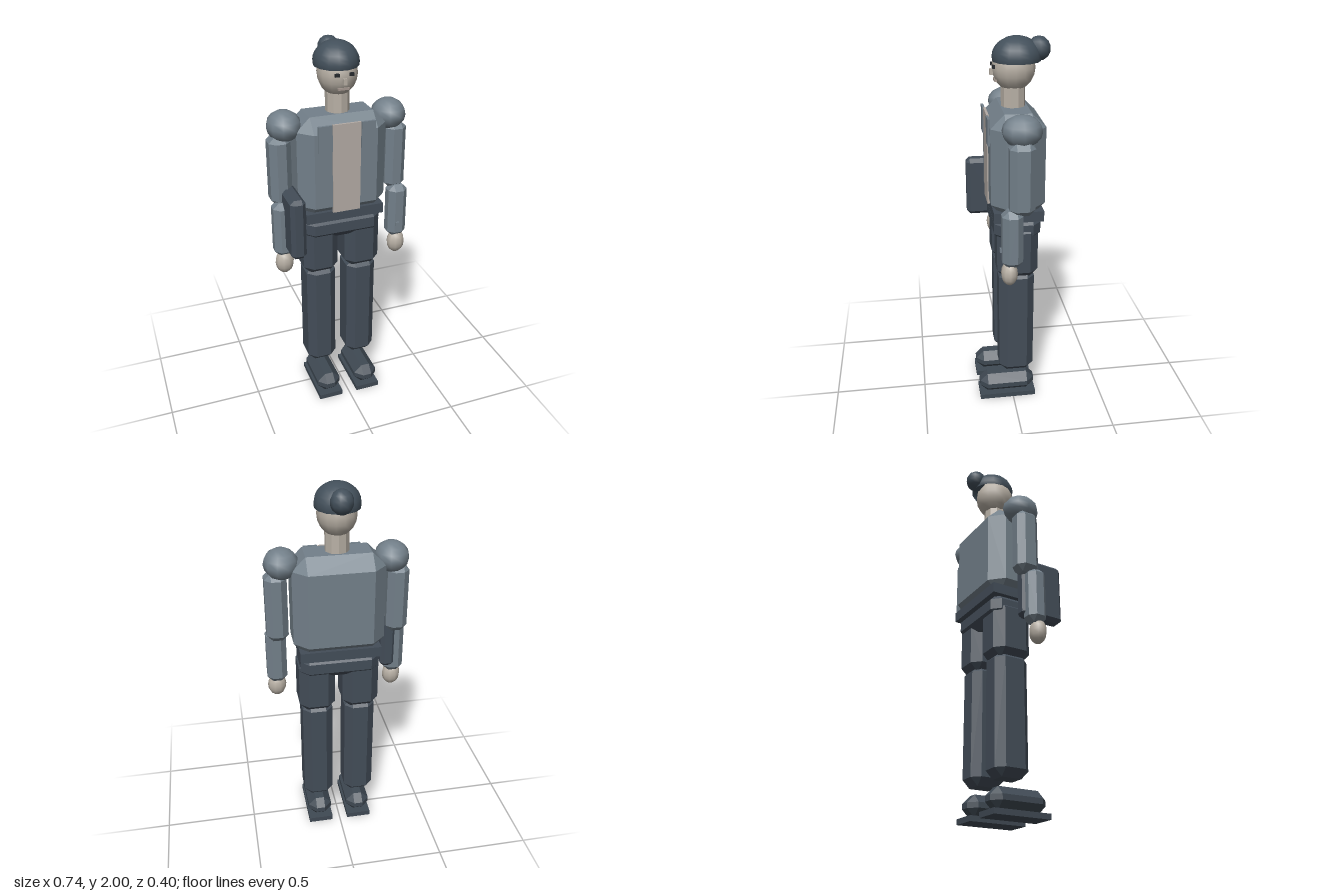
import * as THREE from 'three';
import { ConvexGeometry } from 'three/addons/geometries/ConvexGeometry.js';

const mat = (name, color) => {
  const m = new THREE.MeshStandardMaterial({ color });
  m.name = name;
  return m;
};

// Box with every edge and corner cut flat by b; ranges are [min, max]
function chamferBox([x0, x1], [y0, y1], [z0, z1], b) {
  const h = [(x1 - x0) / 2, (y1 - y0) / 2, (z1 - z0) / 2];
  const c = [(x0 + x1) / 2, (y0 + y1) / 2, (z0 + z1) / 2];
  const points = [];
  for (const sx of [-1, 1]) for (const sy of [-1, 1]) for (const sz of [-1, 1])
    for (let full = 0; full < 3; full++) {
      const p = [sx, sy, sz].map((s, i) => c[i] + s * (h[i] - (i === full ? 0 : b)));
      points.push(new THREE.Vector3(...p));
    }
  return new ConvexGeometry(points);
}

function plainBox([x0, x1], [y0, y1], [z0, z1]) {
  return new THREE.BoxGeometry(x1 - x0, y1 - y0, z1 - z0)
    .translate((x0 + x1) / 2, (y0 + y1) / 2, (z0 + z1) / 2);
}

function ellipsoid(c, r, ws, hs, thetaLength = Math.PI) {
  return new THREE.SphereGeometry(1, ws, hs, 0, Math.PI * 2, 0, thetaLength)
    .scale(...r).translate(...c);
}

export function createModel() {
  const model = new THREE.Group();
  model.name = 'figure';

  const jacket = mat('jacket grey', 0x73808a);
  const shirt = mat('shirt beige', 0xb3aba5);
  const skin = mat('skin', 0xb8b0a5);
  const trousers = mat('trousers dark grey', 0x434d58);
  const shoes = mat('shoe dark grey', 0x3f4953);
  const hair = mat('hair slate', 0x43505b);
  const eyes = mat('eye black', 0x25292d);
  const lips = mat('lips', 0xa79a92);
  hair.side = THREE.DoubleSide;

  const add = (name, geometry, material, parent = model) => {
    const mesh = new THREE.Mesh(geometry, material);
    mesh.name = name;
    parent.add(mesh);
    return mesh;
  };

  // Torso, shirt front and waist
  add('jacketBody', chamferBox([-0.235, 0.235], [1.125, 1.66], [-0.16, 0.115], 0.07), jacket);
  add('shirtFront', plainBox([-0.073, 0.073], [1.165, 1.635], [0.11, 0.122]), shirt);
  add('belt', plainBox([-0.21, 0.21], [1.11, 1.165], [-0.15, 0.105]), trousers);
  add('pelvis', chamferBox([-0.205, 0.205], [0.99, 1.13], [-0.14, 0.1], 0.042), trousers);

  // Head, hair and face
  const head = new THREE.Group();
  head.name = 'head';
  model.add(head);
  const neckGeo = new THREE.CylinderGeometry(0.061, 0.061, 0.16, 10).toNonIndexed();
  neckGeo.computeVertexNormals();
  add('neck', neckGeo.translate(0, 1.7, -0.02), skin, head);
  add('skull', ellipsoid([0, 1.85, -0.022], [0.1, 0.115, 0.108], 14, 10), skin, head);
  add('hairCap', ellipsoid([0, 1.9, -0.037], [0.114, 0.1, 0.122], 14, 8, Math.PI * 0.56), hair, head);
  add('hairBun', ellipsoid([0, 1.937, -0.147], [0.057, 0.06, 0.058], 10, 7), hair, head);
  add('nose', plainBox([-0.009, 0.009], [1.815, 1.845], [0.07, 0.096]), skin, head);
  add('mouth', plainBox([-0.029, 0.029], [1.785, 1.796], [0.062, 0.075]), lips, head);

  // Paired parts: s = 1 is the model's left
  for (const s of [1, -1]) {
    const side = s > 0 ? 'left' : 'right';
    const span = (a, b) => (s > 0 ? [a, b] : [-b, -a]);

    add(side + 'Eye', plainBox(span(0.026, 0.048), [1.854, 1.869], [0.074, 0.087]), eyes, head);
    add(side + 'Lapel', plainBox(span(0.076, 0.148), [1.5, 1.635], [0.114, 0.126]), jacket);

    const arm = new THREE.Group();
    arm.name = side + 'Arm';
    model.add(arm);
    add('shoulder', ellipsoid([s * 0.277, 1.61, -0.023], [0.088, 0.078, 0.099], 10, 8), jacket, arm);
    add('upperArm', chamferBox(span(0.254, 0.365), [1.2, 1.57], [-0.082, 0.044], 0.032), jacket, arm);
    add('forearm', chamferBox(span(0.264, 0.369), [0.925, 1.23], [-0.023, 0.081], 0.03), jacket, arm);
    add('hand', ellipsoid([s * 0.318, 0.885, 0.043], [0.05, 0.065, 0.043], 10, 8), skin, arm);

    const leg = new THREE.Group();
    leg.name = side + 'Leg';
    model.add(leg);
    add('thigh', chamferBox(span(0.02, 0.213), [0.775, 1.09], [-0.128, 0.086], 0.045), trousers, leg);
    add('shin', chamferBox(span(0.034, 0.197), [0.178, 0.815], [-0.112, 0.076], 0.04), trousers, leg);
    add('shoe', chamferBox(span(0.046, 0.178), [0.026, 0.138], [-0.122, 0.184], 0.042), shoes, leg);
    add('sole', plainBox(span(0.044, 0.18), [0, 0.028], [-0.127, 0.187]), shoes, leg);
  }

  // Carried case and wrist button
  add('caseUnderArm', chamferBox([-0.318, -0.238], [0.97, 1.298], [-0.035, 0.202], 0.02), trousers);
  add('wristButton', plainBox([0.297, 0.316], [1.0, 1.022], [0.07, 0.09]), jacket);

  return model;
}
